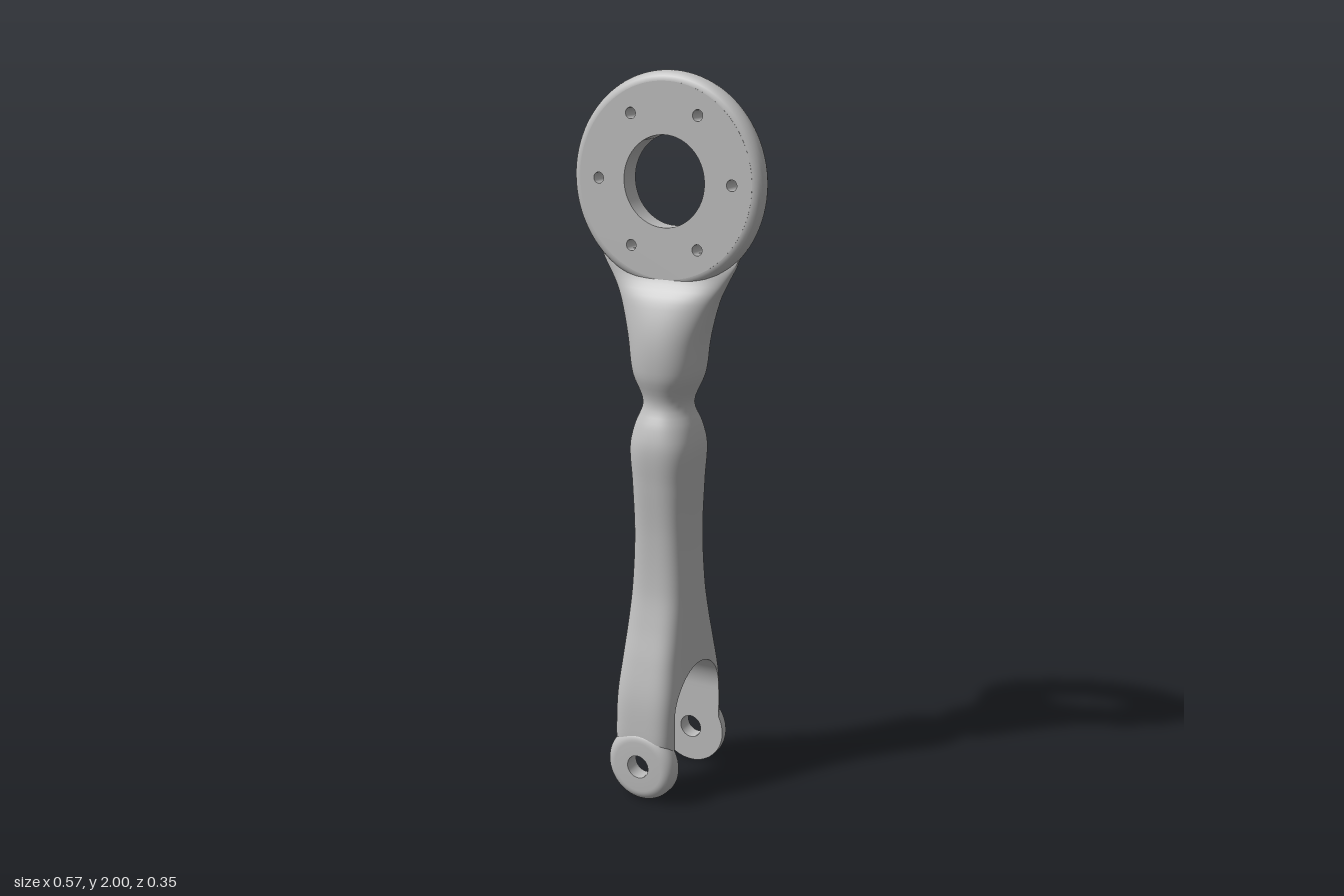
import * as THREE from 'three';
import { mergeGeometries, toCreasedNormals } from 'three/addons/utils/BufferGeometryUtils.js';

const SEG = 160;
const DISC_Y = 1.715, BOLT_R = 0.2;
const SLOT = 0.13, ARCH_Y = 0.245;

// Arm stations: y, half width, front depth, back depth, squareness
const stations = [
  [0.145, 0.099, 0.172, 0.172, 4.5], [0.2, 0.1, 0.172, 0.172, 4.5],
  [0.3, 0.1, 0.164, 0.164, 4.3], [0.4, 0.094, 0.143, 0.143, 4],
  [0.5, 0.09, 0.117, 0.117, 3.6], [0.6, 0.087, 0.098, 0.098, 3.2],
  [0.75, 0.083, 0.092, 0.092, 3], [0.9, 0.09, 0.1, 0.1, 2.7],
  [1.0, 0.098, 0.105, 0.105, 2.5], [1.06, 0.088, 0.092, 0.092, 2.3],
  [1.12, 0.069, 0.07, 0.07, 2.1], [1.2, 0.098, 0.09, 0.099, 2.2],
  [1.3, 0.114, 0.089, 0.104, 2.2], [1.4, 0.144, 0.062, 0.1, 2.2],
  [1.45, 0.17, 0.03, 0.085, 2.3], [1.5, 0.2, 0.012, 0.052, 2.6],
  [1.53, 0.212, 0, 0.033, 3],
];

// Smooth interpolation of the stations at height y
function section(y) {
  const S = stations, last = S.length - 1;
  let i = 0;
  while (i < last - 1 && y > S[i + 1][0]) i++;
  const h = S[i + 1][0] - S[i][0], t = (y - S[i][0]) / h;
  const slope = (k, c) => {
    const a = S[Math.max(k - 1, 0)], b = S[Math.min(k + 1, last)];
    return (b[c] - a[c]) / (b[0] - a[0]);
  };
  return [1, 2, 3, 4].map((c) =>
    (2 * t ** 3 - 3 * t ** 2 + 1) * S[i][c] + (t ** 3 - 2 * t ** 2 + t) * h * slope(i, c) +
    (3 * t ** 2 - 2 * t ** 3) * S[i + 1][c] + (t ** 3 - t ** 2) * h * slope(i + 1, c));
}

// Point on the rounded outline of a section
function outline(y, angle) {
  const [w, front, back, n] = section(y);
  const c = Math.cos(angle), s = Math.sin(angle);
  return [
    w * Math.sign(c) * Math.abs(c) ** (2 / n), y,
    (s > 0 ? front : back) * Math.sign(s) * Math.abs(s) ** (2 / n),
  ];
}

// Surface through equal-length rows of points
function strip(rows) {
  const n = rows[0].length, index = [];
  for (let i = 0; i < rows.length - 1; i++) {
    for (let j = 0; j < n - 1; j++) {
      const a = i * n + j, c = a + n;
      index.push(a, c, a + 1, a + 1, c, c + 1);
    }
  }
  const g = new THREE.BufferGeometry();
  g.setAttribute('position', new THREE.Float32BufferAttribute(rows.flat(2), 3));
  g.setIndex(index);
  return g;
}

// Smooth normals with sharp edges kept, done at large scale for precision
function crease(g, angle) {
  g.scale(1000, 1000, 1000);
  const out = toCreasedNormals(g, angle);
  return out.scale(0.001, 0.001, 0.001);
}

const range = (n, f) => Array.from({ length: n + 1 }, (_, i) => f(i / n));
const bolts = range(5, (t) => {
  const a = t * 5 * Math.PI / 3;
  return [BOLT_R * Math.cos(a), BOLT_R * Math.sin(a)];
});

function armGeometry() {
  // Solid shaft above the fork, with bolt clearances cut in its back
  const archTop = ARCH_Y + SLOT;
  const heights = [
    ...range(70, (t) => archTop + t * (1.46 - archTop)),
    ...range(18, (t) => 1.46 + t * 0.07).slice(1),
  ];
  const shaft = heights.map((y) => range(SEG, (t) => {
    const p = outline(y, t * 2 * Math.PI);
    for (const [bx, by] of bolts) {
      if (p[2] < -0.026 && Math.hypot(p[0] - bx, p[1] - DISC_Y - by) < 0.028) p[2] = -0.026;
    }
    return p;
  }));
  const top = shaft[shaft.length - 1];
  const cap = strip([top, top.map(() => [0, 1.53, -0.015])]);
  const parts = [strip(shaft), cap];

  // Two fork legs, cut by an arched slot
  const levels = [
    ...range(6, (t) => [0.145 + t * (ARCH_Y - 0.145), SLOT]),
    ...range(24, (t) => [
      ARCH_Y + SLOT * Math.sin(t * Math.PI / 2),
      t === 1 ? 0 : SLOT * Math.cos(t * Math.PI / 2),
    ]).slice(1),
  ];
  const outer = levels.map(([y, s]) => {
    const [, depth, , n] = section(y);
    const a = Math.asin((s / depth) ** (n / 2));
    return range(SEG / 2, (t) => outline(y, a + t * (Math.PI - 2 * a)));
  });
  const inner = outer.map((row, i) => {
    const x = row[0][0], [y, s] = levels[i];
    return range(8, (t) => [x * (2 * t - 1), y, s]);
  });
  for (const turn of [0, Math.PI]) {
    parts.push(strip(outer).rotateY(turn), strip(inner).rotateY(turn));
  }
  return crease(mergeGeometries(parts), 0.7);
}

// Flat plate with the large bore and bolt holes
function plateGeometry() {
  const shape = new THREE.Shape().absarc(0, 0, 0.258, 0, Math.PI * 2);
  const hole = (x, y, r) => shape.holes.push(new THREE.Path().absarc(x, y, r, 0, Math.PI * 2, true));
  hole(0, 0, 0.121);
  for (const [x, y] of bolts) hole(x, y, 0.015);
  const g = new THREE.ExtrudeGeometry(shape, { depth: 0.06, bevelEnabled: false, curveSegments: 48 });
  return crease(g.translate(0, 0, -0.03), 0.6);
}

// Pierced boss with a rounded outer edge
function bossGeometry() {
  const profile = [
    [0.033, 0.13], [0.105, 0.13], [0.105, 0.146],
    ...range(8, (t) => [
      0.073 + 0.032 * Math.cos(t * Math.PI / 2), 0.146 + 0.031 * Math.sin(t * Math.PI / 2),
    ]).slice(1),
    [0.033, 0.177], [0.033, 0.13],
  ].map(([r, z]) => new THREE.Vector2(r, z));
  return crease(new THREE.LatheGeometry(profile, 56).rotateX(Math.PI / 2), 0.6);
}

export function createModel() {
  const group = new THREE.Group();
  const metal = new THREE.MeshStandardMaterial({ color: 0xbebebe });
  metal.name = 'plain grey';
  const add = (name, geometry) => {
    const mesh = new THREE.Mesh(geometry, metal);
    mesh.name = name;
    group.add(mesh);
    return mesh;
  };

  add('forkedArm', armGeometry());
  add('mountingPlate', plateGeometry()).position.set(0, DISC_Y, -0.002);
  add('roundedRim', new THREE.TorusGeometry(0.255, 0.03, 24, 96)).position.set(0, DISC_Y, -0.002);

  const boss = bossGeometry();
  add('frontBoss', boss).position.y = 0.105;
  const back = add('backBoss', boss);
  back.position.y = 0.105;
  back.rotation.y = Math.PI;
  return group;
}
